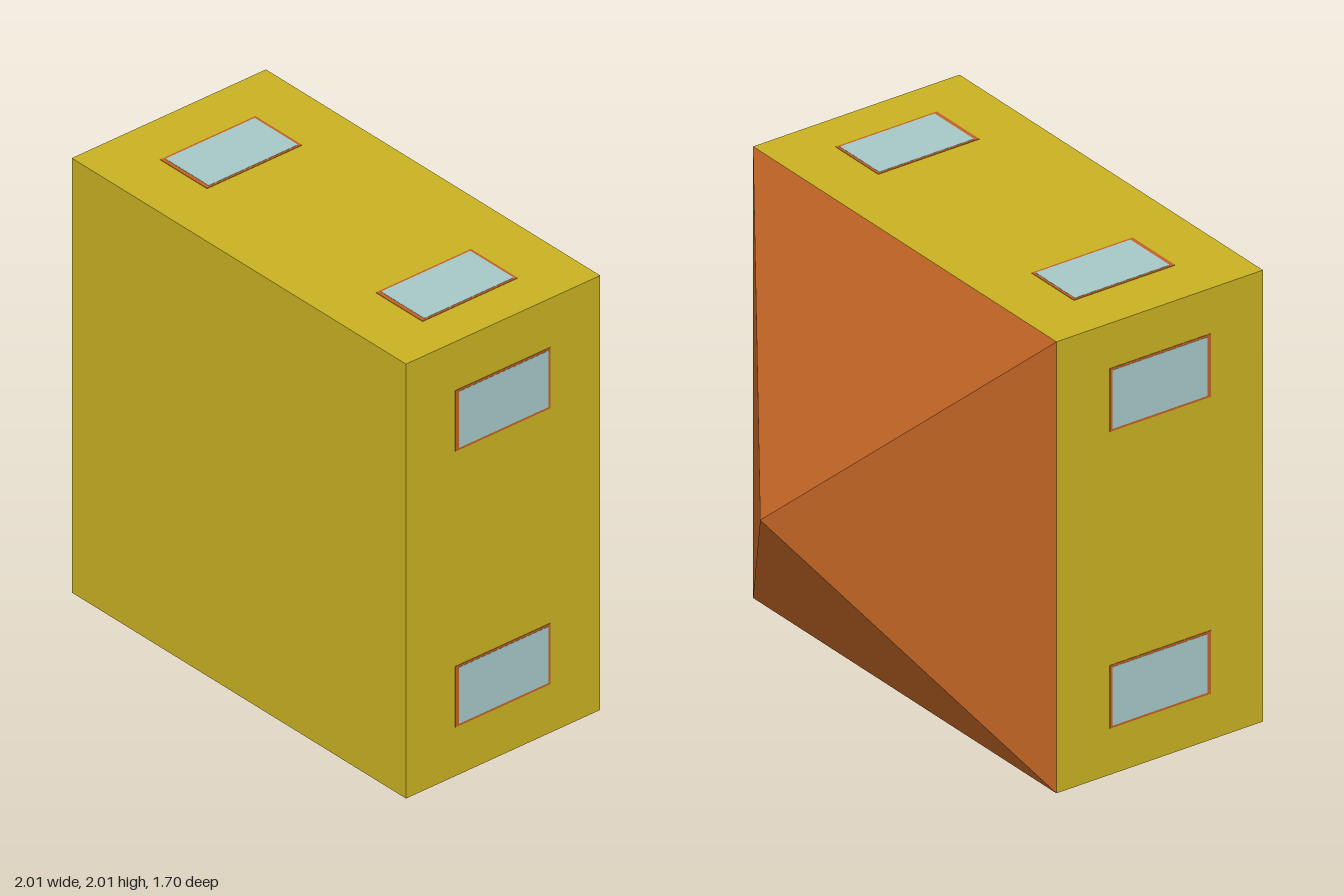
import * as THREE from 'three';

const mat = (name, color) => Object.assign(new THREE.MeshStandardMaterial({ color }), { name });

export function createModel() {
  const wallMat = mat('wall yellow', 0xc9b122);
  const roofMat = mat('roof orange', 0xbf6324);
  const glassMat = mat('window glass', 0xa6c8c8);

  const model = new THREE.Group();
  model.name = 'house';
  const add = (parent, name, geometry, material, x, y, z) => {
    const mesh = new THREE.Mesh(geometry, material);
    mesh.name = name;
    mesh.position.set(x, y, z);
    parent.add(mesh);
    return mesh;
  };

  // Walls: a square block, tipped so that the roof points backwards
  add(model, 'walls', new THREE.BoxGeometry(2, 2, 1), wallMat, 0, 1, 0.35);

  // Roof: four-sided pyramid, its square base against the walls
  const roofGeo = new THREE.ConeGeometry(Math.SQRT2, 0.7, 4, 1)
    .rotateY(Math.PI / 4)
    .rotateX(-Math.PI / 2)
    .toNonIndexed();
  roofGeo.computeVertexNormals();
  add(model, 'roof', roofGeo, roofMat, 0, 1, -0.5);

  // Window: thin trim plate with a smaller pane over it, facing local +y
  const trimGeo = new THREE.BoxGeometry(0.28, 0.004, 0.49);
  const paneGeo = new THREE.BoxGeometry(0.26, 0.006, 0.46);
  const addWindow = (side, x) => {
    const win = new THREE.Group();
    win.name = 'window';
    win.position.set(x, 1, 0.352);
    add(win, 'windowTrim', trimGeo, roofMat, 0, 0, 0);
    add(win, 'windowPane', paneGeo, glassMat, 0, 0, -0.003);
    side.add(win);
  };

  // Two windows on each of the four sides; offsets run along each side's local x
  const sides = [
    ['topSide', 0, [-0.625, 0.665]],
    ['rightSide', -Math.PI / 2, [-0.635, 0.635]],
    ['bottomSide', Math.PI, [-0.665, 0.625]],
    ['leftSide', Math.PI / 2, [-0.655, 0.66]],
  ];
  for (const [name, turn, offsets] of sides) {
    const side = new THREE.Group();
    side.name = name;
    side.position.y = 1;
    side.rotation.z = turn;
    offsets.forEach((x) => addWindow(side, x));
    model.add(side);
  }
  return model;
}
